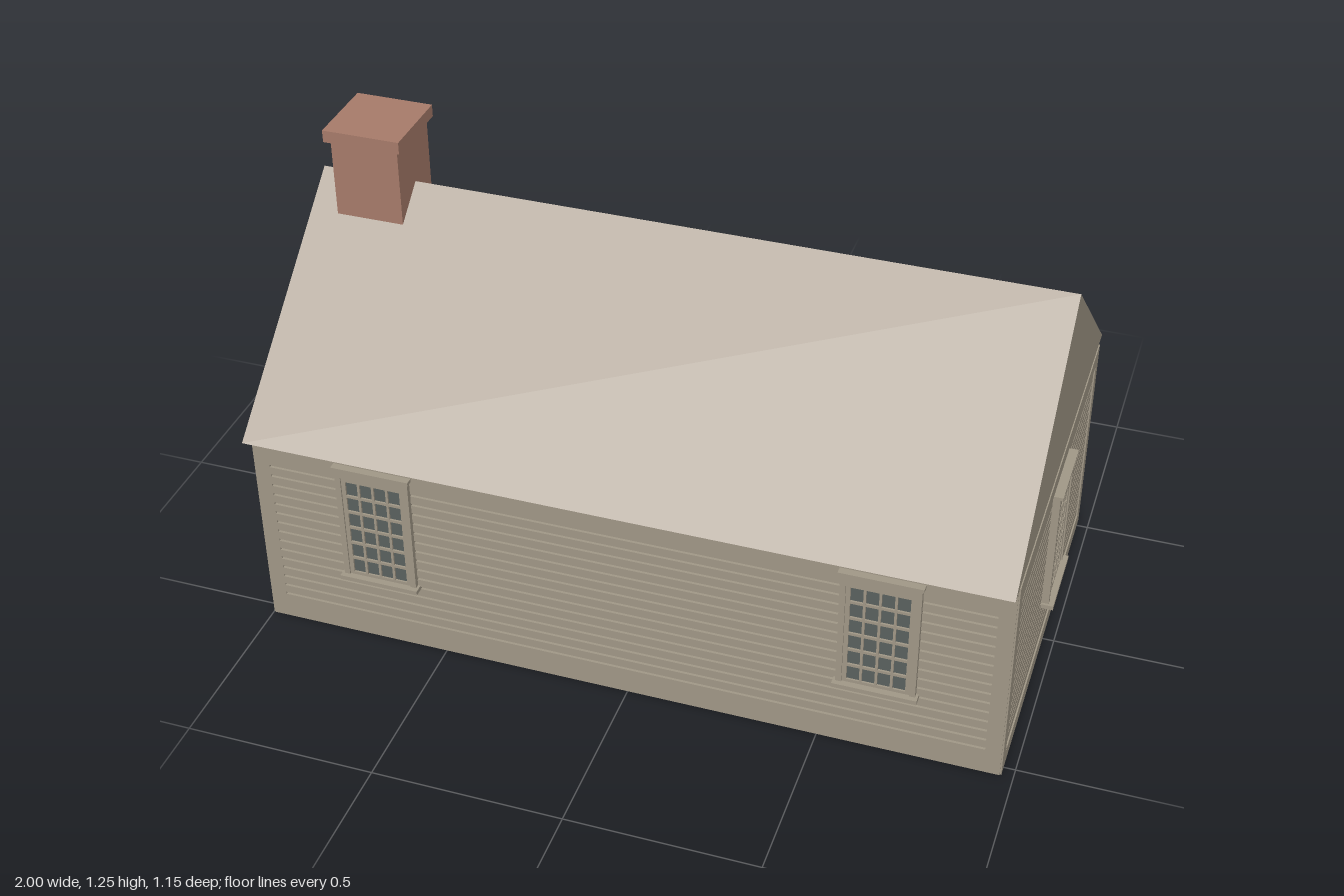
import * as THREE from 'three';

const wallMat = new THREE.MeshStandardMaterial({ color: 0xa29988 });
wallMat.name = 'wall paint';
const roofMat = new THREE.MeshStandardMaterial({ color: 0xaca194 });
roofMat.name = 'roof shingle';
const brickMat = new THREE.MeshStandardMaterial({ color: 0xa87c6b });
brickMat.name = 'chimney brick';
const glassMat = new THREE.MeshStandardMaterial({ color: 0x5b625f });
glassMat.name = 'window glass';

function add(parent, name, geometry, material) {
  const mesh = new THREE.Mesh(geometry, material);
  mesh.name = name;
  parent.add(mesh);
  return mesh;
}

// Box given by its lowest and highest corners
function block(parent, name, material, [x0, y0, z0], [x1, y1, z1]) {
  const geometry = new THREE.BoxGeometry(x1 - x0, y1 - y0, z1 - z0);
  geometry.translate((x0 + x1) / 2, (y0 + y1) / 2, (z0 + z1) / 2);
  return add(parent, name, geometry, material);
}

// Flat plate with rectangular holes; rectangles are [x0, y0, x1, y1]
function plate(parent, name, outer, holes, z, depth) {
  const corners = ([x0, y0, x1, y1]) => [[x0, y0], [x1, y0], [x1, y1], [x0, y1]]
    .map(([x, y]) => new THREE.Vector2(x, y));
  const shape = new THREE.Shape(corners(outer));
  shape.holes = holes.map((hole) => new THREE.Path(corners(hole).reverse()));
  const geometry = new THREE.ExtrudeGeometry(shape, { depth, bevelEnabled: false });
  geometry.translate(0, 0, z);
  return add(parent, name, geometry, wallMat);
}

// Wall facing local +z, with horizontal grooves between the clapboards
function makeWall(name, width, grooveHalf, framed) {
  const wall = new THREE.Group();
  wall.name = name;
  const grooves = [];
  for (let i = 0; i < 15; i++) {
    const y = 0.077 + i * 0.03;
    grooves.push([-grooveHalf, y - 0.0035, grooveHalf, y + 0.0035]);
  }
  const half = width / 2;
  const face = framed ? -0.004 : 0;
  plate(wall, 'clapboards', [-half, 0, half, 0.595], grooves, face - 0.007, 0.007);
  block(wall, 'wallBacking', wallMat, [-half, 0, face - 0.012], [half, 0.595, face - 0.007]);
  if (framed) {
    plate(wall, 'cornerBoards', [-half + 0.003, 0, half - 0.003, 0.594],
      [[-grooveHalf, 0.045, grooveHalf, 0.55]], face, 0.004);
  }
  return wall;
}

// Sash window with four by six panes
function addWindow(wall, x, lift = 0) {
  const window = new THREE.Group();
  window.name = 'window';
  window.position.set(x, 0, lift);
  const panes = [];
  for (let c = 0; c < 4; c++) {
    for (let r = 0; r < 6; r++) {
      const px = (c - 1.5) * 0.0385;
      const py = 0.2345 + r * 0.0495;
      panes.push([px - 0.016, py - 0.021, px + 0.016, py + 0.021]);
    }
  }
  plate(window, 'casing', [-0.1, 0.2, 0.1, 0.545], [[-0.085, 0.205, 0.085, 0.515]], -0.006, 0.019);
  plate(window, 'sash', [-0.085, 0.205, 0.085, 0.515], panes, -0.004, 0.013);
  block(window, 'glass', glassMat, [-0.08, 0.208, 0], [0.08, 0.512, 0.004]);
  block(window, 'sill', wallMat, [-0.107, 0.193, -0.006], [0.107, 0.205, 0.026]);
  block(window, 'headCap', wallMat, [-0.105, 0.541, -0.006], [0.105, 0.55, 0.02]);
  wall.add(window);
}

// Door with three rows of paired panels
function addDoor(wall, x) {
  const door = new THREE.Group();
  door.name = 'door';
  door.position.x = x;
  const panels = [];
  for (const [y0, y1] of [[0.06, 0.22], [0.26, 0.315], [0.355, 0.475]]) {
    panels.push([-0.077, y0, -0.013, y1], [0.013, y0, 0.077, y1]);
  }
  plate(door, 'casing', [-0.112, 0, 0.112, 0.54], [[-0.09, 0.015, 0.09, 0.505]], 0, 0.014);
  plate(door, 'doorLeaf', [-0.09, 0.015, 0.09, 0.505], panels, 0, 0.009);
  block(door, 'glass', glassMat, [-0.085, 0.03, 0], [0.085, 0.5, 0.004]);
  block(door, 'doorstep', wallMat, [-0.12, 0, 0], [0.12, 0.02, 0.022]);
  block(door, 'headCap', wallMat, [-0.118, 0.537, 0], [0.118, 0.547, 0.02]);
  wall.add(door);
}

export function createModel() {
  const house = new THREE.Group();
  house.name = 'house';

  // Four walls around an open-bottomed shell
  const front = makeWall('frontWall', 1.962, 0.94, false);
  front.position.set(-0.015, 0, 0.53);
  addWindow(front, -0.652);
  addWindow(front, 0.66);

  const back = makeWall('backWall', 1.962, 0.94, false);
  back.position.set(-0.015, 0, -0.53);
  back.rotation.y = Math.PI;
  addWindow(back, -0.66);
  addWindow(back, 0.66);
  addDoor(back, 0.132);

  const left = makeWall('leftWall', 1.06, 0.487, true);
  left.position.x = 0.97;
  left.rotation.y = Math.PI / 2;
  addWindow(left, 0, 0.004);

  const right = makeWall('rightWall', 1.06, 0.487, true);
  right.position.x = -1;
  right.rotation.y = -Math.PI / 2;
  house.add(front, back, left, right);

  // Gable roof: wall-coloured ends, roof-coloured slopes and a flat ceiling
  const gable = new THREE.Shape([
    new THREE.Vector2(-0.577, 0.593),
    new THREE.Vector2(0.577, 0.593),
    new THREE.Vector2(0, 1.077),
  ]);
  const roof = new THREE.ExtrudeGeometry(gable, { depth: 1.964, bevelEnabled: false });
  roof.rotateY(Math.PI / 2);
  roof.translate(-0.997, 0, 0);
  add(house, 'roof', roof, [wallMat, roofMat]);

  // Chimney over the ridge
  const chimney = new THREE.Group();
  chimney.name = 'chimney';
  block(chimney, 'chimneyShaft', brickMat, [-0.923, 1.0, -0.092], [-0.742, 1.212, 0.092]);
  block(chimney, 'chimneyCap', brickMat, [-0.937, 1.212, -0.105], [-0.73, 1.245, 0.105]);
  house.add(chimney);

  return house;
}
